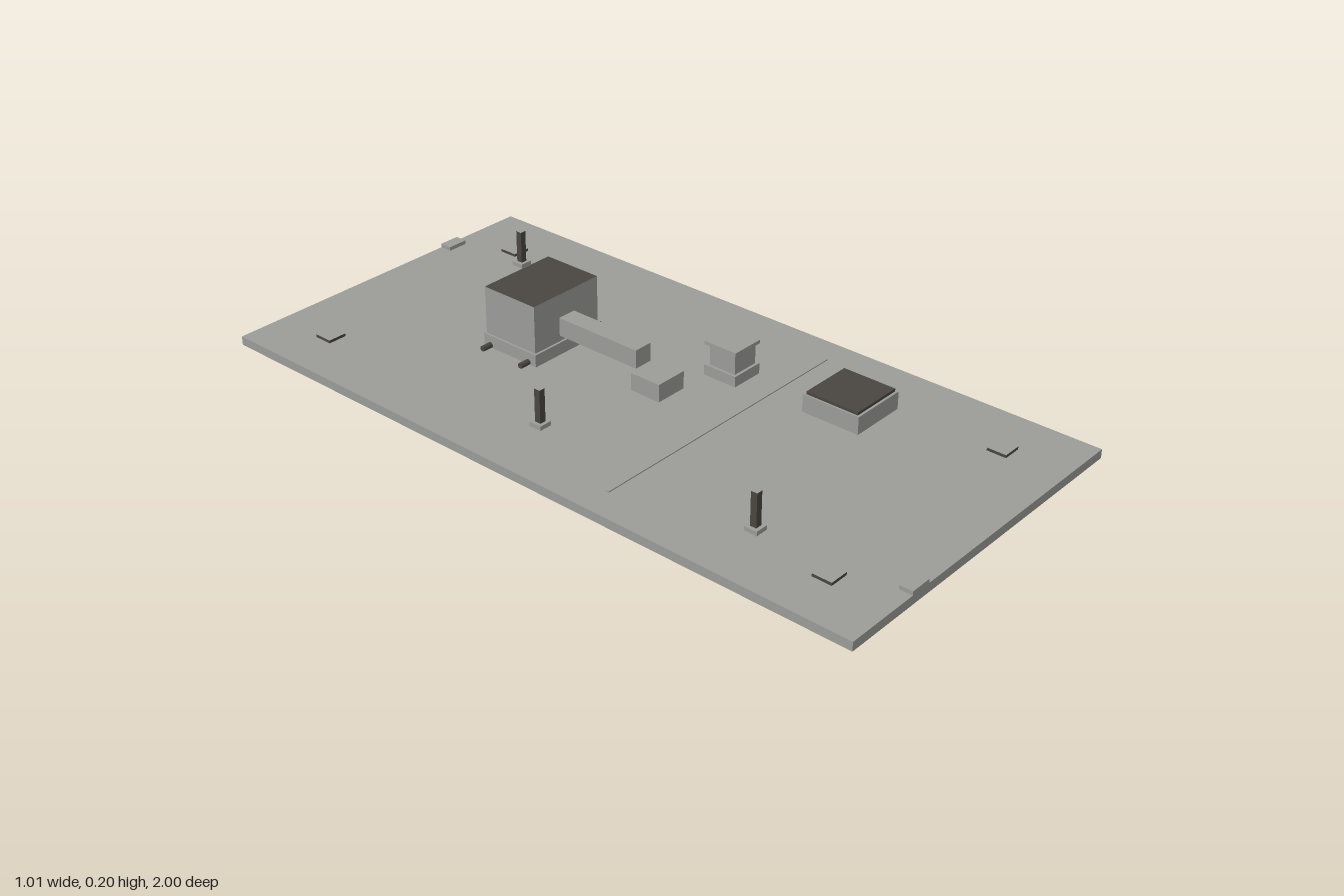
import * as THREE from 'three';

export function createModel() {
  const model = new THREE.Group();
  const grey = new THREE.MeshStandardMaterial({ color: 0x9c9c99 });
  grey.name = 'concrete grey';
  const dark = new THREE.MeshStandardMaterial({ color: 0x4a4641 });
  dark.name = 'dark brown';

  const G = 0.025; // top of the ground slab
  const darkTop = [grey, grey, dark, grey, grey, grey];
  const greyTop = [dark, dark, grey, dark, dark, dark];

  // Box from its centre in x and z, its bottom and top in y, and its width and depth
  function block(name, x, z, y0, y1, w, d, material = grey) {
    const mesh = new THREE.Mesh(new THREE.BoxGeometry(w, y1 - y0, d), material);
    mesh.position.set(x, (y0 + y1) / 2, z);
    mesh.name = name;
    model.add(mesh);
    return mesh;
  }

  // Ground slab with the thin line across it
  block('groundSlab', 0, 0, 0, G, 1.006, 2);
  block('groundLine', 0, 0.238, G, 0.028, 0.84, 0.008);

  // Main building with skirt and four side rollers
  block('buildingSkirt', 0.016, -0.392, G, 0.06, 0.248, 0.188);
  block('mainBuilding', 0.016, -0.393, G, 0.195, 0.236, 0.177, darkTop);
  for (const x of [-0.123, 0.154]) {
    for (const z of [-0.463, -0.325]) {
      const roller = new THREE.Mesh(new THREE.CylinderGeometry(0.008, 0.008, 0.03, 12), dark);
      roller.rotation.z = Math.PI / 2;
      roller.position.set(x, 0.032, z);
      roller.name = 'roller';
      model.add(roller);
    }
  }

  // Raised passage leading to the small block
  block('passage', 0.015, -0.17, 0.078, 0.13, 0.055, 0.265);
  block('smallBlock', 0.015, 0.01, G, 0.075, 0.095, 0.094);

  // Pedestal: foot, stem and cap
  block('pedestalFoot', 0.2, 0.101, G, 0.055, 0.098, 0.102);
  block('pedestalStem', 0.2, 0.103, 0.055, 0.113, 0.082, 0.082);
  block('pedestalCap', 0.2, 0.101, 0.113, 0.123, 0.098, 0.102);

  // Low block with dark lid
  block('lowBlock', 0.252, 0.437, G, 0.075, 0.167, 0.17);
  block('lowBlockLid', 0.252, 0.437, 0.075, 0.083, 0.156, 0.156, dark);

  // Posts on square feet
  for (const [x, z] of [[0.294, -0.746], [-0.308, -0.087], [-0.315, 0.592]]) {
    block('postFoot', x, z, G, 0.037, 0.037, 0.037);
    block('post', x, z, 0.037, 0.13, 0.018, 0.018, greyTop);
  }

  // Corner plates
  for (const x of [-0.347, 0.343]) {
    for (const z of [-0.823, 0.822]) block('cornerPlate', x, z, G, 0.033, 0.054, 0.054, greyTop);
  }

  // Plates on the short edges
  block('frontEdgePlate', -0.257, 0.982, G, 0.036, 0.062, 0.036);
  block('backEdgePlate', 0.251, -0.982, G, 0.036, 0.062, 0.036);

  return model;
}
